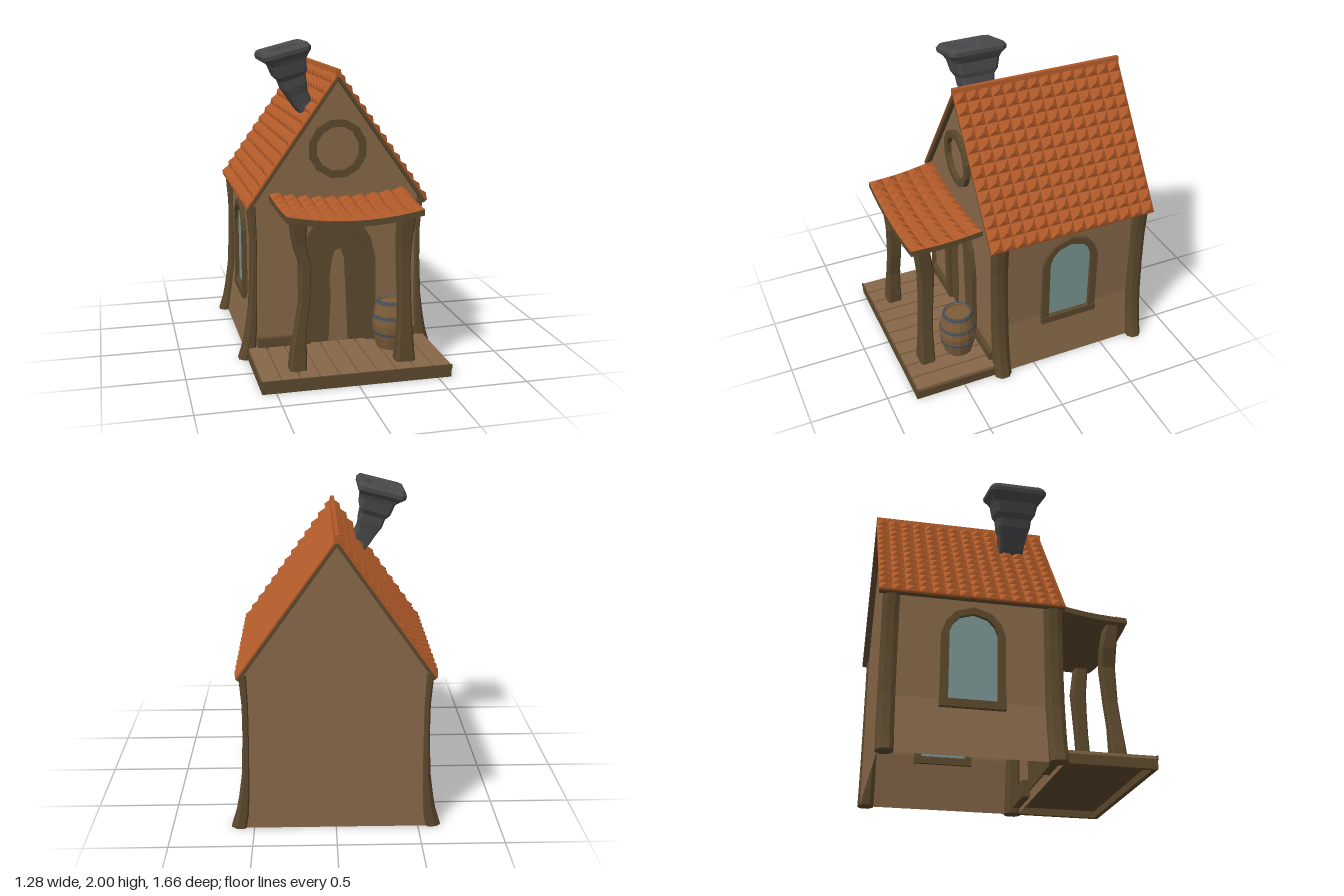
import * as THREE from 'three';

const mat = (name, color, extra = {}) => new THREE.MeshStandardMaterial({ name, color, ...extra });

// Flat facets for any geometry
function flat(geo) {
  const g = geo.index ? geo.toNonIndexed() : geo;
  g.computeVertexNormals();
  return g;
}

function fromTriangles(points) {
  const g = new THREE.BufferGeometry().setFromPoints(points);
  g.computeVertexNormals();
  return g;
}

// Eight-sided chamfered rectangle, counter-clockwise seen from above
function ring(cx, cy, cz, hx, hz, k, tilt = 0) {
  const corners = [[1, -k], [1, k], [k, 1], [-k, 1], [-1, k], [-1, -k], [-k, -1], [k, -1]];
  return corners.map(([p, q]) => new THREE.Vector3(
    cx + p * hx * Math.cos(tilt), cy + p * hx * Math.sin(tilt), cz - q * hz));
}

// Skin a stack of rings and close both ends
function loft(rings) {
  const pts = [], n = rings[0].length;
  for (let r = 0; r < rings.length - 1; r++) {
    for (let i = 0; i < n; i++) {
      const j = (i + 1) % n, lo = rings[r], hi = rings[r + 1];
      pts.push(lo[i], lo[j], hi[j], lo[i], hi[j], hi[i]);
    }
  }
  const first = rings[0], last = rings[rings.length - 1];
  for (let i = 1; i < n - 1; i++) {
    pts.push(first[0], first[i + 1], first[i], last[0], last[i], last[i + 1]);
  }
  return fromTriangles(pts);
}

// Grid of pyramid tiles over a surface; peaks sit towards the lower edge
function tiles(surface, nu, nv, height, peak) {
  const pts = [];
  for (let i = 0; i < nu; i++) {
    for (let j = 0; j < nv; j++) {
      const at = (s, t) => surface((i + s) / nu, (j + t) / nv);
      const a = at(0, 0), b = at(0, 1), c = at(1, 1), d = at(1, 0);
      const normal = c.clone().sub(a).cross(d.clone().sub(b)).normalize();
      const top = at(0.5, peak).addScaledVector(normal, height);
      pts.push(a, b, top, b, c, top, c, d, top, d, a, top);
    }
  }
  return fromTriangles(pts);
}

const shapeOf = pts => new THREE.Shape(pts.map(p => new THREE.Vector2(...p)));

// Arched outline: half width, bottom, spring line, top
const arch = (w, y0, s, t) => [[-w, y0], [w, y0], [w, s], [0.86 * w, s + 0.44 * (t - s)],
  [0.57 * w, s + 0.8 * (t - s)], [0, t], [-0.57 * w, s + 0.8 * (t - s)],
  [-0.86 * w, s + 0.44 * (t - s)], [-w, s]];

function extrude(outer, depth, hole) {
  const shape = shapeOf(outer);
  if (hole) shape.holes.push(shapeOf(hole));
  return flat(new THREE.ExtrudeGeometry(shape, { depth, bevelEnabled: false }));
}

export function createModel() {
  const model = new THREE.Group();
  model.name = 'cottage';
  const plaster = mat('plaster', 0x876848, { side: THREE.DoubleSide });
  const timber = mat('darkTimber', 0x5c492d);
  const clay = mat('clayTile', 0xb15a29);
  const stone = mat('chimneyStone', 0x4a4a4c);
  const glass = mat('windowGlass', 0x7a9593);
  const cask = mat('barrelWood', 0x7d5d3a);
  const iron = mat('barrelIron', 0x4b5058);

  const add = (name, geo, material, parent = model) => {
    const mesh = new THREE.Mesh(geo, material);
    mesh.name = name;
    parent.add(mesh);
    return mesh;
  };
  const box = (name, material, x0, x1, y0, y1, z0, z1) =>
    add(name, new THREE.BoxGeometry(x1 - x0, y1 - y0, z1 - z0), material)
      .position.set((x0 + x1) / 2, (y0 + y1) / 2, (z0 + z1) / 2);

  // Walls: flared at the foot, open underneath
  const wallZ = [0.27, -0.79];
  const profile = [[0.58, 0], [0.53, 0.35], [0.53, 1.02], [0, 1.77], [-0.53, 1.02], [-0.53, 0.35], [-0.58, 0]];
  for (const s of [1, -1]) {
    const pts = [];
    for (let i = 0; i < 2; i++) {
      const [a, b, c, d] = [[i, 0], [i, 1], [i + 1, 1], [i + 1, 0]].map(([p, z]) =>
        new THREE.Vector3(s * profile[p][0], profile[p][1], wallZ[s > 0 ? z : 1 - z]));
      pts.push(a, b, c, a, c, d);
    }
    add('sideWall', fromTriangles(pts), plaster);
  }
  add('frontWall', new THREE.ShapeGeometry(shapeOf(profile)), plaster).position.z = wallZ[0];
  const back = add('backWall', new THREE.ShapeGeometry(shapeOf(profile)), plaster);
  back.position.z = wallZ[1];
  back.rotation.y = Math.PI;

  // Corner posts curving outwards at the foot
  const cornerRows = [[0, 0.585, 0.055], [0.1, 0.563, 0.046], [0.2, 0.552, 0.038], [0.35, 0.541, 0.028],
    [0.6, 0.534, 0.023], [0.8, 0.533, 0.023], [1.0, 0.543, 0.028]];
  for (const s of [1, -1]) {
    for (const [z, hz] of [[0.232, 0.055], [-0.752, 0.05]]) {
      add('cornerPost', loft(cornerRows.map(([y, x, hx]) => ring(s * x, y, z, hx, hz, 0.45))), timber);
    }
  }

  // Main roof: timber underlay, clay bed, tiled slopes, narrow ridge
  const underlay = extrude([[0.578, 0.987], [0, 1.802], [-0.578, 0.987], [-0.562, 0.974], [0, 1.768], [0.562, 0.974]], 1.13);
  add('roofUnderlay', underlay, timber).position.z = -0.828;
  const bed = extrude([[0.584, 0.996], [0, 1.817], [-0.584, 0.996], [-0.578, 0.987], [0, 1.802], [0.578, 0.987]], 1.135);
  add('roofBed', bed, clay).position.z = -0.83;
  for (const s of [1, -1]) {
    const slope = (u, v) => new THREE.Vector3(s * 0.584 * v, 1.817 - 0.821 * v, -0.2625 + s * (0.5675 - 1.135 * u));
    add('roofTiles', tiles(slope, 14, 13, 0.025, 0.65), clay);
  }
  add('roofRidge', extrude([[-0.02, 1.79], [0.02, 1.79], [0.012, 1.836], [-0.012, 1.836]], 1.135), clay).position.z = -0.83;

  // Sagging porch roof
  const canopy = (u, v) => {
    const x = 2 * u - 1;
    const sag = 0.045 * (x * x - 1) - 0.012 * Math.sin(Math.PI * v);
    return new THREE.Vector3(x * (0.44 - 0.025 * v), 1.08 - 0.037 * v + sag, 0.3 + 0.455 * v);
  };
  add('porchRoofTiles', tiles(canopy, 10, 5, 0.037, 0.55), clay);
  const boards = new THREE.BoxGeometry(1, 1, 1, 10, 1, 5);
  const pos = boards.attributes.position;
  for (let i = 0; i < pos.count; i++) {
    const p = canopy(pos.getX(i) + 0.5, pos.getZ(i) + 0.5);
    pos.setXYZ(i, p.x, p.y + (pos.getY(i) > 0 ? -0.002 : -0.038), p.z);
  }
  add('porchRoofBoards', flat(boards), timber);

  // Crooked porch posts: height, centre x, half x, centre z, half z
  const leftRows = [[0.07, 0.327, 0.062, 0.672, 0.05], [0.33, 0.327, 0.04, 0.665, 0.042], [0.5, 0.325, 0.036, 0.655, 0.042],
    [0.68, 0.32, 0.036, 0.645, 0.046], [0.8, 0.322, 0.04, 0.642, 0.05], [1.0, 0.328, 0.052, 0.668, 0.043]];
  const rightRows = [[0.07, -0.345, 0.052, 0.672, 0.05], [0.2, -0.338, 0.046, 0.668, 0.045], [0.33, -0.325, 0.032, 0.663, 0.042],
    [0.5, -0.297, 0.032, 0.655, 0.042], [0.73, -0.292, 0.034, 0.645, 0.048], [0.85, -0.327, 0.036, 0.645, 0.05], [1.0, -0.335, 0.052, 0.668, 0.043]];
  for (const rows of [leftRows, rightRows]) {
    add('porchPost', loft(rows.map(([y, x, hx, z, hz]) => ring(x, y, z, hx, hz, 0.75))), timber);
  }

  // Porch deck: open frame below, planks on top
  box('deckBase', timber, -0.58, 0.58, 0.045, 0.06, 0.275, 0.82);
  box('deckFrontBeam', timber, -0.585, 0.585, 0, 0.06, 0.796, 0.826);
  for (const s of [1, -1]) {
    box('deckSideBeam', timber, s * 0.57 - 0.015, s * 0.57 + 0.015, 0, 0.06, 0.275, 0.8);
  }
  const planks = 10, step = 1.17 / planks;
  for (let i = 0; i < planks; i++) {
    const x = -0.585 + i * step;
    box('deckPlank', plaster, x + 0.005, x + step - 0.005, 0.058, 0.08, 0.275, 0.82);
  }
  box('deckEdge', timber, -0.588, 0.588, 0.055, 0.08, 0.819, 0.83);

  // Baseboards, door and its worn patch
  for (const s of [1, -1]) {
    box('baseboard', timber, s * 0.38 - 0.14, s * 0.38 + 0.14, 0.03, 0.14, 0.22, 0.3);
  }
  add('doorFrame', extrude(arch(0.248, 0.07, 0.62, 0.95), 0.042, arch(0.183, 0.075, 0.64, 0.885)), timber).position.z = 0.26;
  add('door', extrude(arch(0.19, 0.07, 0.64, 0.89), 0.017), timber).position.z = 0.26;
  const patch = [[-0.058, 0.08], [0.069, 0.08], [0.053, 0.43], [0.042, 0.64], [0.02, 0.7], [-0.015, 0.69], [-0.032, 0.64], [-0.053, 0.5], [-0.042, 0.385]];
  add('doorPatch', extrude(patch, 0.006), plaster).position.z = 0.275;

  // Round gable frame
  const circle = r => Array.from({ length: 12 }, (_, i) => {
    const a = (i + 0.5) * Math.PI / 6;
    return [r * Math.cos(a), r * Math.sin(a)];
  });
  add('roundFrame', extrude(circle(0.187), 0.042, circle(0.141)), timber).position.set(0, 1.345, 0.26);

  // Arched side windows
  for (const s of [1, -1]) {
    const win = new THREE.Group();
    win.name = 'sideWindow';
    win.position.set(s * 0.52, 0, -0.257);
    win.rotation.y = s * Math.PI / 2;
    model.add(win);
    add('windowFrame', extrude(arch(0.193, 0.33, 0.76, 0.94), 0.04, arch(0.146, 0.345, 0.77, 0.895)), timber, win);
    add('windowPane', extrude(arch(0.15, 0.34, 0.77, 0.9), 0.009), glass, win).position.z = 0.006;
    add('windowSill', new THREE.BoxGeometry(0.39, 0.048, 0.05), timber, win).position.set(0, 0.322, 0.021);
  }

  // Crooked chimney with a hollow cap: centre x, y, half x, half z, tilt
  const flue = [[-0.1, 1.5, 0.05, 0.075, 0.5], [-0.18, 1.61, 0.058, 0.08, 0.5], [-0.215, 1.67, 0.062, 0.09, 0.42],
    [-0.235, 1.72, 0.076, 0.105, 0.35], [-0.25, 1.77, 0.08, 0.11, 0.3], [-0.262, 1.8, 0.098, 0.13, 0.27],
    [-0.28, 1.87, 0.108, 0.145, 0.25], [-0.289, 1.893, 0.13, 0.155, 0.25], [-0.299, 1.918, 0.152, 0.186, 0.25],
    [-0.304, 1.942, 0.155, 0.188, 0.25], [-0.31, 1.965, 0.142, 0.168, 0.25],
    [-0.306, 1.957, 0.085, 0.09, 0.25], [-0.282, 1.85, 0.04, 0.045, 0.25]];
  add('chimney', loft(flue.map(([x, y, hx, hz, t]) => ring(x, y, 0.055, hx, hz, 0.84, t))), stone);

  // Barrel with iron hoops
  const barrel = new THREE.Group();
  barrel.name = 'barrel';
  barrel.position.set(0.317, 0.08, 0.437);
  model.add(barrel);
  const lathe = pts => flat(new THREE.LatheGeometry(pts.map(p => new THREE.Vector2(...p)), 14));
  add('barrelBody', lathe([[0, 0], [0.092, 0], [0.114, 0.08], [0.123, 0.155], [0.114, 0.23], [0.094, 0.302], [0.086, 0.302], [0.084, 0.29], [0, 0.29]]), cask, barrel);
  for (const [y, r0, r1] of [[0.09, 0.118, 0.122], [0.2, 0.122, 0.118], [0.292, 0.101, 0.096]]) {
    add('barrelHoop', lathe([[r0 - 0.014, y], [r0, y], [r1, y + 0.02], [r1 - 0.014, y + 0.02]]), iron, barrel);
  }
  return model;
}
